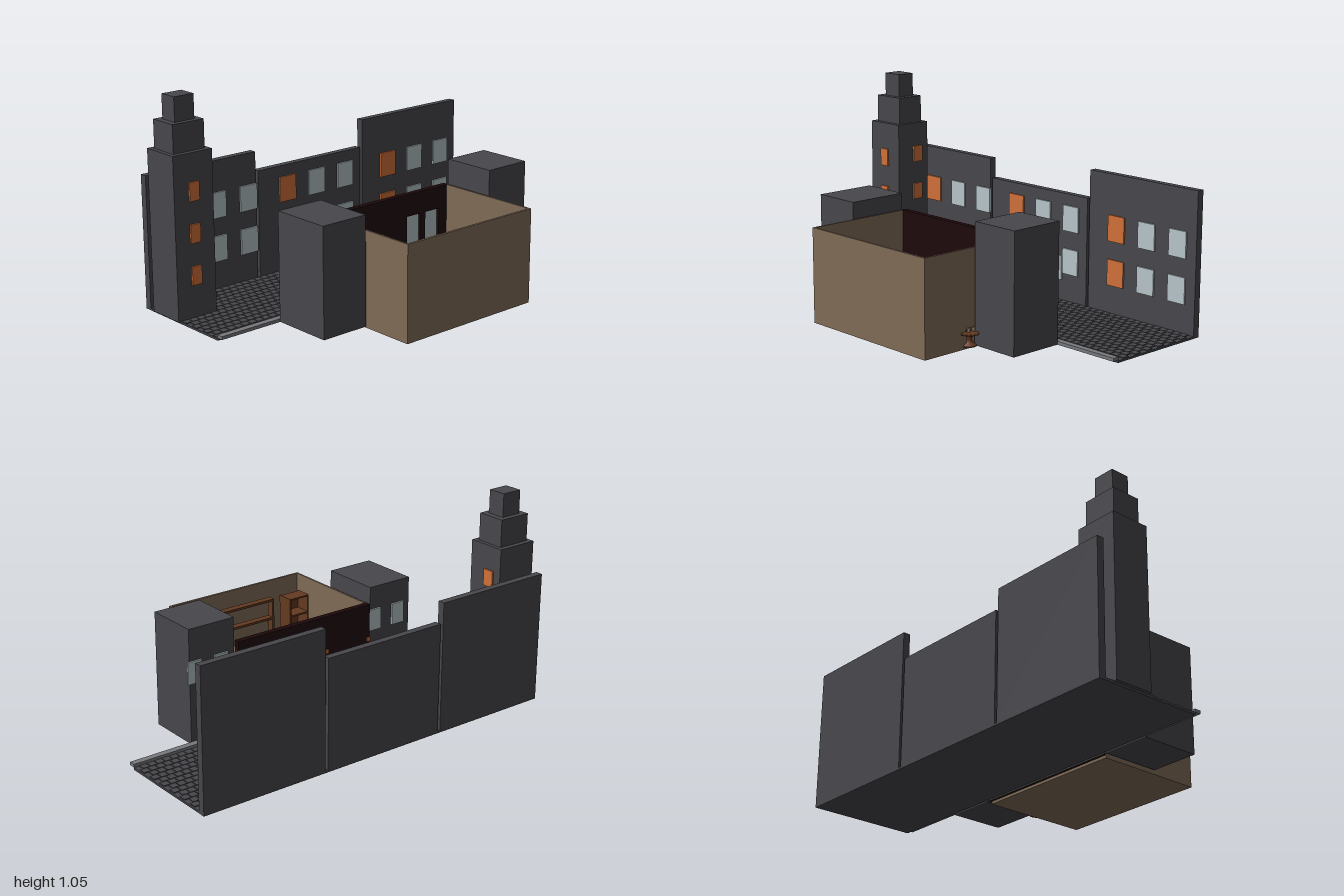
import * as THREE from 'three';
import { mergeGeometries } from 'three/addons/utils/BufferGeometryUtils.js';

const mat = (name, color) => Object.assign(new THREE.MeshStandardMaterial({ color }), { name });

export function createModel() {
  const model = new THREE.Group();
  model.name = 'streetScene';

  const stone = mat('dark stone', 0x47464b);
  const kerbGray = mat('kerb gray', 0x77787c);
  const plaster = mat('tan plaster', 0x806b57);
  const maroon = mat('dark maroon', 0x1e090b);
  const orange = mat('lit orange', 0xcf7039);
  const glass = mat('pale glass', 0xb5c4c7);
  const wood = mat('brown wood', 0x643a20);
  const dark = mat('charcoal cloth', 0x303236);
  const china = mat('china cream', 0x8f7a66);

  const add = (name, geometry, material, parent = model) => {
    const mesh = new THREE.Mesh(geometry, material);
    mesh.name = name;
    parent.add(mesh);
    return mesh;
  };
  // Box given by its minimum and maximum corners
  const boxGeo = (x0, x1, y0, y1, z0, z1) =>
    new THREE.BoxGeometry(x1 - x0, y1 - y0, z1 - z0)
      .translate((x0 + x1) / 2, (y0 + y1) / 2, (z0 + z1) / 2);
  const box = (name, material, x0, x1, y0, y1, z0, z1, parent = model) =>
    add(name, boxGeo(x0, x1, y0, y1, z0, z1), material, parent);
  const group = (name, x = 0, y = 0, z = 0) => {
    const g = new THREE.Group();
    g.name = name;
    g.position.set(x, y, z);
    model.add(g);
    return g;
  };

  // Street with staggered cobbles, and the kerb
  box('street', stone, -0.985, 1, 0, 0.01, -0.578, -0.022);
  const cobbles = [];
  const pitch = 0.04;
  for (let row = 0; row < 13; row++) {
    const z = -0.542 + row * pitch;
    for (let x = -0.985 + (row % 2) * pitch / 2; x + pitch <= 1.001; x += pitch) {
      cobbles.push(boxGeo(x + 0.002, x + pitch - 0.002, 0.009, 0.014, z + 0.002, z + pitch - 0.002));
    }
  }
  add('cobbles', mergeGeometries(cobbles), stone);
  box('kerb', kerbGray, -0.985, 1, 0.012, 0.028, -0.025, 0.008);

  // Building fronts across the street, each with two rows of three windows
  const fronts = [
    { x0: -0.985, x1: -0.35, top: 0.655, first: -0.775 },
    { x0: -0.335, x1: 0.325, top: 0.555, first: -0.155 },
    { x0: 0.34, x1: 1, top: 0.697, first: 0.517 },
  ];
  for (const { x0, x1, top, first } of fronts) {
    box('farBuilding', stone, x0, x1, 0.01, top, -0.578, -0.542);
    for (let i = 0; i < 3; i++) {
      const x = first + i * 0.188;
      for (const y of [0.152, 0.37]) {
        box('farWindow', i ? glass : orange, x - 0.051, x + 0.051, y, y + 0.128, -0.543, -0.534);
      }
    }
  }

  // Stepped tower with lit windows on two sides
  const tiers = [[0.108, 0.099, 0.012, 0.798], [0.086, 0.074, 0.798, 0.935], [0.054, 0.047, 0.935, 1.052]];
  for (const [hx, hz, y0, y1] of tiers) {
    box('towerTier', stone, -0.892 - hx, -0.892 + hx, y0, y1, -0.397 - hz, -0.397 + hz);
  }
  for (const y of [0.173, 0.374, 0.573]) {
    box('towerFrontWindow', orange, -0.92, -0.866, y, y + 0.089, -0.299, -0.289);
    box('towerSideWindow', orange, -0.785, -0.775, y + 0.021, y + 0.104, -0.453, -0.394);
  }

  // Neighbouring blocks, with windows facing the street
  const blocks = [[-0.655, -0.405, 0.545, 0.32], [0.415, 0.665, 0.588, 0.29]];
  for (const [x0, x1, top, front] of blocks) {
    const c = (x0 + x1) / 2;
    box('neighbourBlock', stone, x0, x1, 0.014, top, 0.01, front);
    for (const dx of [-0.048, 0.1]) {
      box('blockUpperWindow', glass, c + dx - 0.038, c + dx + 0.038, 0.32, 0.43, 0.0, 0.009);
    }
    box('blockShopWindow', glass, c - 0.08, c + 0.08, 0.1, 0.245, 0.0, 0.009);
  }

  // Open-topped room
  box('roomFloor', plaster, -0.39, 0.4, 0, 0.013, 0.026, 0.578);
  box('roomFrontWall', plaster, -0.39, 0.4, 0.013, 0.466, 0.566, 0.578);
  box('roomRightWall', plaster, -0.39, -0.38, 0.013, 0.466, 0.026, 0.566);
  box('roomLeftWall', plaster, 0.39, 0.4, 0.013, 0.466, 0.026, 0.566);

  // Shop facade with a door opening and two glazed windows
  const rect = (shape, x0, x1, y0, y1) => {
    shape.moveTo(x0, y0).lineTo(x1, y0).lineTo(x1, y1).lineTo(x0, y1).closePath();
    return shape;
  };
  const facade = rect(new THREE.Shape(), -0.39, 0.4, 0.013, 0.466);
  facade.holes.push(rect(new THREE.Path(), -0.06, 0.07, 0.026, 0.245));
  for (const x of [0.17, 0.293]) {
    facade.holes.push(rect(new THREE.Path(), x - 0.046, x + 0.046, 0.13, 0.355));
    box('facadeGlass', glass, x - 0.046, x + 0.046, 0.13, 0.355, 0.002, 0.01);
  }
  const facadeGeo = new THREE.ExtrudeGeometry(facade, { depth: 0.031, bevelEnabled: false });
  add('facade', facadeGeo.translate(0, 0, -0.006), maroon);
  box('doorPost', maroon, -0.072, -0.06, 0.028, 0.256, -0.011, 0);
  box('doorPost', maroon, 0.07, 0.082, 0.028, 0.256, -0.011, 0);
  box('doorLintel', maroon, -0.06, 0.07, 0.245, 0.256, -0.011, 0);
  for (const x of [-0.38, -0.12, 0.125, 0.392]) {
    box('wallLamp', orange, x - 0.009, x + 0.009, 0.276, 0.294, -0.015, -0.004);
  }

  // Shelving against the front wall: two bookcases and a slatted rack
  for (const [x0, x1] of [[-0.36, -0.24], [0.25, 0.37]]) {
    for (const x of [x0, x1 - 0.008]) box('bookcaseSide', wood, x, x + 0.008, 0.013, 0.39, 0.443, 0.53);
    box('bookcaseBack', wood, x0 + 0.008, x1 - 0.008, 0.013, 0.382, 0.522, 0.53);
    for (let i = 0; i < 5; i++) {
      const y = 0.02 + i * 0.0905;
      box('bookcaseShelf', wood, x0 + 0.008, x1 - 0.008, y, y + 0.008, 0.443, 0.522);
    }
  }
  for (const x of [-0.185, 0.183]) box('rackSide', wood, x, x + 0.012, 0.013, 0.39, 0.504, 0.54);
  for (const y of [0.08, 0.18, 0.28, 0.378]) box('rackShelf', wood, -0.173, 0.183, y, y + 0.012, 0.504, 0.54);

  // Desk
  box('deskTop', wood, 0.165, 0.305, 0.1, 0.11, 0.158, 0.236);
  for (const x of [0.168, 0.292]) {
    for (const z of [0.161, 0.223]) box('deskLeg', wood, x, x + 0.01, 0.013, 0.1, z, z + 0.01);
  }

  // Armchair, turned towards the round table
  const chair = group('armchair', 0.282, 0.013, 0.32);
  chair.rotation.y = -0.7;
  box('chairSeat', kerbGray, -0.038, 0.038, 0.035, 0.055, -0.045, 0.045, chair);
  box('chairBack', wood, -0.046, 0.046, 0.035, 0.125, 0.045, 0.055, chair);
  for (const s of [-1, 1]) {
    const x = s * 0.042;
    box('chairArm', wood, x - 0.004, x + 0.004, 0.02, 0.08, -0.045, 0.045, chair);
    for (const z of [-0.04, 0.04]) box('chairLeg', wood, x - 0.004, x + 0.004, 0, 0.035, z - 0.004, z + 0.004, chair);
  }

  // Round pedestal table with cups
  const table = group('roundTable', 0.4, 0.013, 0.312);
  const profile = [[0, 0], [0.036, 0], [0.034, 0.008], [0.016, 0.016], [0.012, 0.03], [0.016, 0.04],
    [0.013, 0.05], [0.025, 0.056], [0.05, 0.058], [0.05, 0.068], [0, 0.068]];
  add('tablePedestal', new THREE.LatheGeometry(profile.map(([r, y]) => new THREE.Vector2(r, y)), 16), wood, table);
  for (const [x, z] of [[0.012, 0.013], [0.015, -0.014], [-0.022, 0.002]]) {
    add('cup', new THREE.CylinderGeometry(0.01, 0.007, 0.02, 12), china, table).position.set(x, 0.078, z);
    const handle = add('cupHandle', new THREE.TorusGeometry(0.005, 0.0015, 6, 12), china, table);
    handle.position.set(x, 0.079, z + 0.012);
    handle.rotation.y = Math.PI / 2;
  }

  // Standing figure with a wide hat and outstretched arms
  const figure = group('figure', 0.055, 0.013, 0.26);
  const round = (name, rt, rb, y0, y1, x = 0) =>
    add(name, new THREE.CylinderGeometry(rt, rb, y1 - y0, 16), dark, figure).position.set(x, (y0 + y1) / 2, 0);
  for (const s of [-1, 1]) round('leg', 0.013, 0.011, 0, 0.095, s * 0.015);
  round('torso', 0.028, 0.03, 0.09, 0.175);
  round('hatBrim', 0.055, 0.055, 0.215, 0.22);
  round('hatCrown', 0.022, 0.026, 0.22, 0.25);
  add('head', new THREE.SphereGeometry(0.022, 16, 12), china, figure).position.y = 0.197;
  box('arms', dark, -0.11, 0.11, 0.155, 0.17, -0.008, 0.008, figure);

  return model;
}
